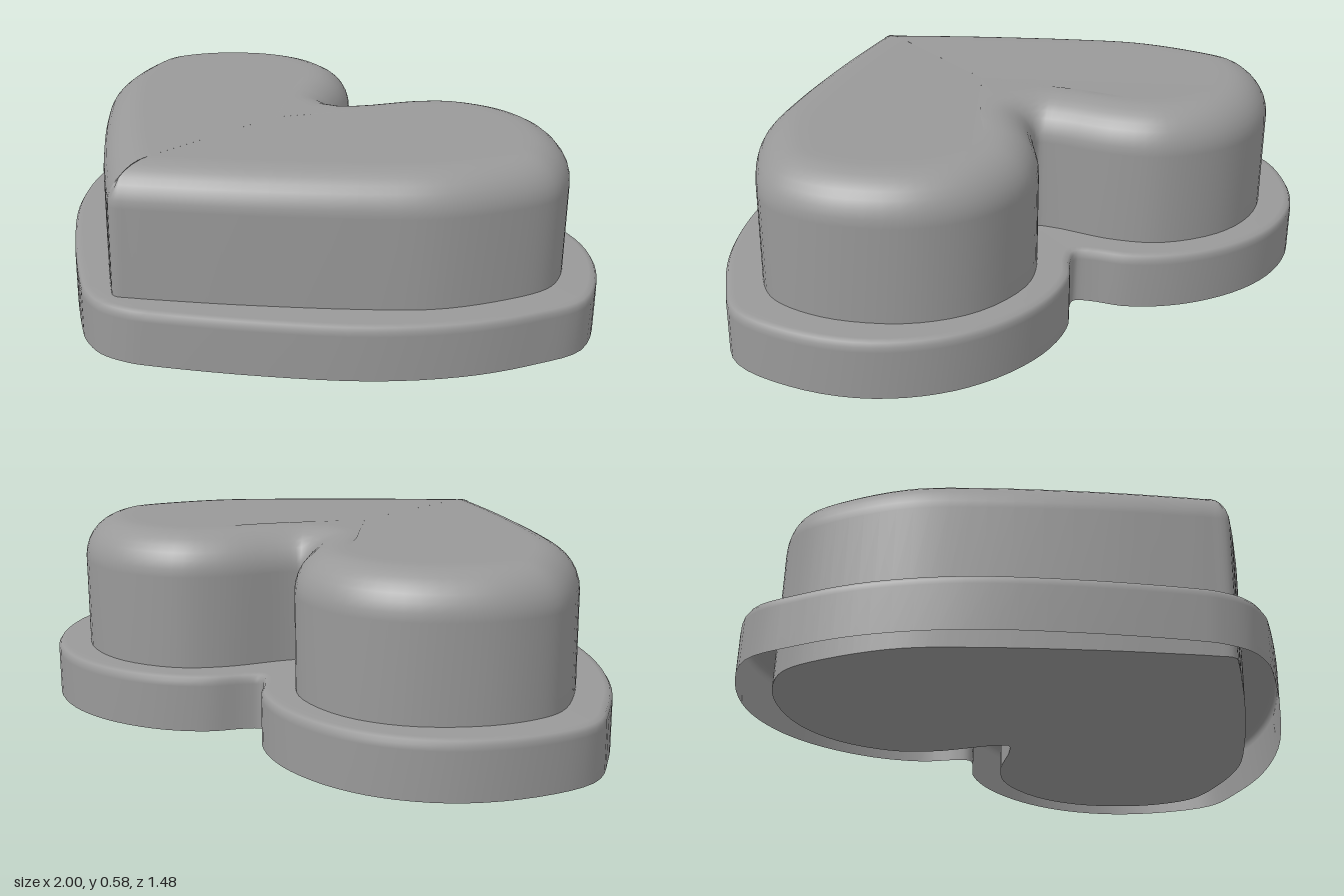
import * as THREE from 'three';

const HALF = 64; // steps along one half of a heart outline
const N = HALF * 2;

// Half outlines as [x, z], from the notch at the back round to the front tip
const RIM = [[0, -0.51], [0.04, -0.54], [0.11, -0.625], [0.25, -0.705], [0.44, -0.74], [0.62, -0.715],
  [0.79, -0.625], [0.925, -0.47], [1, -0.28], [0.95, -0.11], [0.855, 0.08], [0.685, 0.29],
  [0.43, 0.5], [0.165, 0.68], [0.1, 0.715], [0, 0.738]];
const BODY = [[0, -0.305], [0.04, -0.345], [0.14, -0.51], [0.25, -0.61], [0.44, -0.657], [0.62, -0.615],
  [0.78, -0.49], [0.86, -0.36], [0.88, -0.26], [0.835, -0.11], [0.73, 0.08], [0.57, 0.24],
  [0.3, 0.465], [0.15, 0.578], [0.05, 0.65], [0, 0.678]];

// Smooth closed curve through a half outline and its mirror image
function heartCurve(half) {
  const mirrored = half.slice(1, -1).reverse().map(([x, z]) => [-x, z]);
  const pts = [...half, ...mirrored].map(([x, z]) => new THREE.Vector3(x, 0, z));
  return new THREE.CatmullRomCurve3(pts, true, 'centripetal');
}

// One ring of the heart, moved inwards by inset, at height y (a number or a function of z)
function heartRing(curve, inset, y) {
  const ring = [];
  for (let i = 0; i <= HALF; i++) {
    const t = i / N;
    const p = curve.getPoint(t);
    const tan = curve.getTangent(t);
    const end = i === 0 || i === HALF;
    const nx = end ? 0 : tan.z;
    const nz = end ? (i ? 1 : -1) : -tan.x;
    let x = p.x - nx * inset;
    let z = p.z - nz * inset * (i === HALF ? 1.28 : 1);
    // keep the two sides from crossing near the tip
    if (x < 0 && i > HALF / 2) {
      z += nx * x / Math.max(nz, 0.5);
      x = 0;
    }
    if (end) x = 0;
    ring.push([x, z]);
  }
  for (let i = HALF - 1; i > 0; i--) ring.push([-ring[i][0], ring[i][1]]);
  return ring.map(([x, z]) => new THREE.Vector3(x, typeof y === 'function' ? y(z) : y, z));
}

const centreRing = (y) => Array.from({ length: N }, () => new THREE.Vector3(0, y, 0));

// Skin between successive rings
function loft(rings) {
  const pos = [];
  const index = [];
  rings.forEach((ring) => ring.forEach((p) => pos.push(p.x, p.y, p.z)));
  for (let r = 0; r < rings.length - 1; r++) {
    for (let i = 0; i < N; i++) {
      const j = (i + 1) % N;
      const a = r * N + i, a1 = r * N + j, b = a + N, b1 = a1 + N;
      index.push(a, b, a1, a1, b, b1);
    }
  }
  const g = new THREE.BufferGeometry();
  g.setAttribute('position', new THREE.Float32BufferAttribute(pos, 3));
  g.setIndex(index);
  g.computeVertexNormals();
  return g;
}

export function createModel() {
  const grey = new THREE.MeshStandardMaterial({ color: 0x999999, side: THREE.DoubleSide });
  grey.name = 'grey';
  const group = new THREE.Group();
  group.name = 'heartMould';
  const add = (name, rings) => {
    const mesh = new THREE.Mesh(loft(rings), grey);
    mesh.name = name;
    group.add(mesh);
  };
  const rim = heartCurve(RIM);
  const body = heartCurve(BODY);

  // Rim: thin skirt, open below, with a softly rounded upper edge and a flat ledge
  add('rim', [
    heartRing(rim, 0, 0), heartRing(rim, 0, 0.14), heartRing(rim, 0.001, 0.155),
    heartRing(rim, 0.008, 0.166), heartRing(rim, 0.025, 0.17), heartRing(body, 0, 0.17),
  ]);

  // Body: straight wall, rounded shoulder, and a top that rises slightly to the back
  const sections = [[0, 0], [0, 0.17], [0, 0.45]];
  for (let k = 1; k <= 8; k++) {
    const a = (k / 8) * Math.PI / 2;
    sections.push([0.13 * (1 - Math.cos(a)), 0.45 + 0.123 * Math.sin(a)]);
  }
  const rings = sections.map(([inset, y]) =>
    heartRing(body, inset, (z) => y - 0.008 * z * Math.max(0, (y - 0.45) / 0.123)));
  rings.push(heartRing(body, 0.16, (z) => 0.573 - 0.008 * z));
  add('body', [...rings, centreRing(0.57)]);

  // Flat underside of the body
  add('bodyUnderside', [centreRing(0), heartRing(body, 0, 0)]);
  return group;
}
